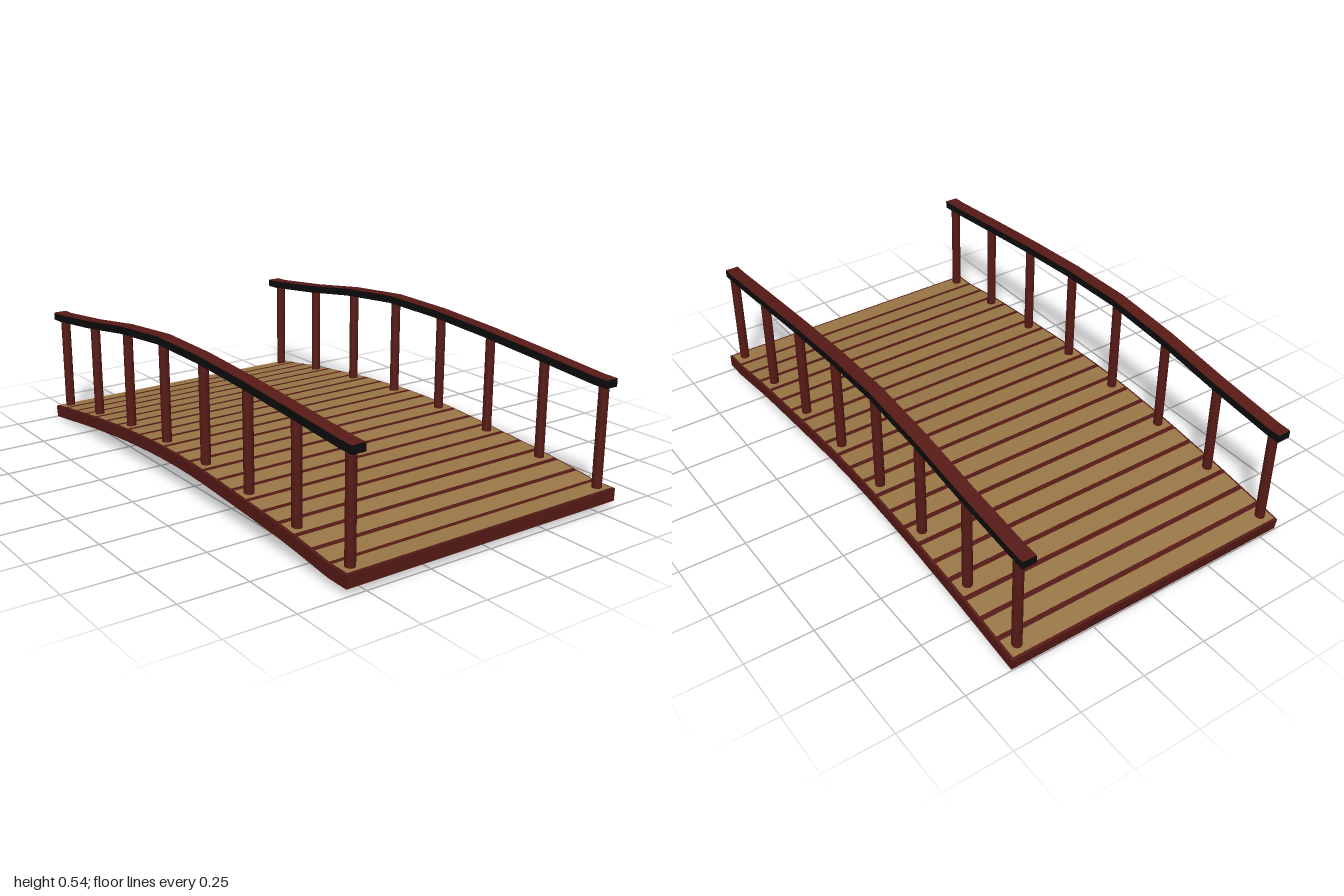
import * as THREE from 'three';

const paint = (color) => new THREE.MeshStandardMaterial({ color, flatShading: true });

// Piecewise-linear height along z, points ordered from front (+z) to back.
function heightAt(points, z) {
  for (let i = 0; i < points.length - 1; i++) {
    const [za, ya] = points[i], [zb, yb] = points[i + 1];
    if (z >= zb) return ya + (yb - ya) * (za - z) / (za - zb);
  }
  return points[points.length - 1][1];
}

const DECK = [[1, 0.055], [0.91, 0.056], [0.68, 0.085], [0.4, 0.105], [0.14, 0.121],
  [0, 0.123], [-0.14, 0.121], [-0.4, 0.105], [-0.68, 0.075], [-1, 0.031]];
const RAIL = [[1, 0.463], [0.94, 0.465], [0.68, 0.488], [0.41, 0.51], [0.14, 0.526],
  [-0.13, 0.53], [-0.41, 0.506], [-0.68, 0.468], [-0.95, 0.438], [-1, 0.437]];

export function createModel() {
  const model = new THREE.Group();
  const red = paint(0x571a16), tan = paint(0x9a7847), black = paint(0x0c0c0c);

  // Arched deck: boards with raised wood faces and dark edges
  const deck = new THREE.Group();
  deck.name = 'deck';
  const count = 22, pitch = 2 / count;
  const edgeGeo = new THREE.BoxGeometry(1.15, 0.046, pitch);
  const faceGeo = new THREE.BoxGeometry(1.134, 0.05, pitch - 0.018);
  for (let i = 0; i < count; i++) {
    const z = 1 - pitch * (i + 0.5);
    const yFront = heightAt(DECK, z + pitch / 2), yBack = heightAt(DECK, z - pitch / 2);
    const board = new THREE.Group();
    board.name = 'board';
    const edge = new THREE.Mesh(edgeGeo, red);
    edge.name = 'boardEdge';
    const face = new THREE.Mesh(faceGeo, [red, red, tan, tan, red, red]);
    face.name = 'boardFace';
    board.add(edge, face);
    board.position.set(0, (yFront + yBack) / 2, z);
    board.rotation.x = -Math.atan2(yFront - yBack, pitch);
    deck.add(board);
  }
  model.add(deck);

  // A railing on each side: curved handrail over eight round posts
  const addRailing = (name, railX, postX) => {
    const railing = new THREE.Group();
    railing.name = name;

    const geo = new THREE.BoxGeometry(0.052, 0.029, 2, 1, 1, RAIL.length - 1);
    const pos = geo.attributes.position;
    for (let i = 0; i < pos.count; i++) {
      const station = Math.round((1 - pos.getZ(i)) / 2 * (RAIL.length - 1));
      const [z, y] = RAIL[station];
      pos.setY(i, pos.getY(i) + y);
      pos.setZ(i, z);
    }
    geo.computeVertexNormals();
    const rail = new THREE.Mesh(geo, [black, black, red, tan, black, black]);
    rail.name = 'handrail';
    rail.position.x = railX;
    railing.add(rail);

    for (let i = 0; i < 8; i++) {
      const z = 0.96 - i * 0.274;
      const bottom = heightAt(DECK, z) + 0.01, top = heightAt(RAIL, z) - 0.008;
      const post = new THREE.Mesh(new THREE.CylinderGeometry(0.018, 0.018, top - bottom, 12), red);
      post.name = 'post';
      post.position.set(postX, (top + bottom) / 2, z);
      railing.add(post);
    }
    model.add(railing);
  };
  addRailing('leftRailing', 0.518, 0.527);
  addRailing('rightRailing', -0.535, -0.532);

  return model;
}
